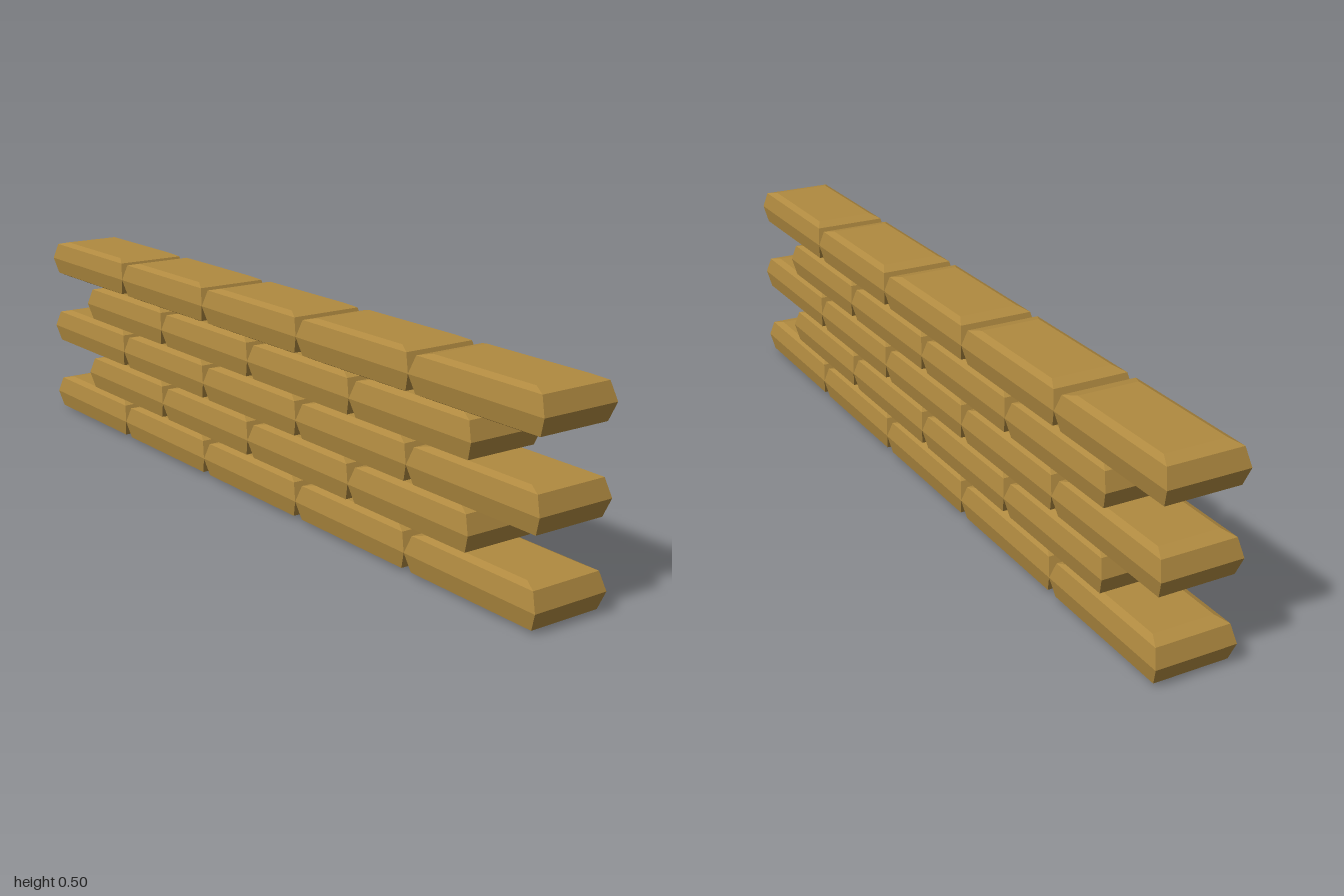
import * as THREE from 'three';

// Brick size and its profile from bottom to top: [height, plan scale]
const LENGTH = 0.4, HEIGHT = 0.1, DEPTH = 0.2;
const PROFILE = [[0, 0.75], [0.008, 0.92], [0.05, 1], [0.092, 0.92], [0.1, 0.75]];

// A box whose horizontal rings are scaled to give bulging, bevelled sides
function brickGeometry() {
  const geometry = new THREE.BoxGeometry(LENGTH, HEIGHT, DEPTH, 1, PROFILE.length - 1, 1);
  const pos = geometry.attributes.position;
  for (let i = 0; i < pos.count; i++) {
    const ring = Math.round((pos.getY(i) / HEIGHT + 0.5) * (PROFILE.length - 1));
    const [y, scale] = PROFILE[ring];
    pos.setXYZ(i, pos.getX(i) * scale, y, pos.getZ(i) * scale);
  }
  const flat = geometry.toNonIndexed();
  flat.computeVertexNormals();
  return flat;
}

export function createModel() {
  const wall = new THREE.Group();
  wall.name = 'brickWall';
  const geometry = brickGeometry();
  const material = new THREE.MeshStandardMaterial({ color: 0xb08a40, flatShading: true });

  // Alternating courses of five and four bricks
  for (let row = 0; row < 5; row++) {
    const course = new THREE.Group();
    course.name = `course${row + 1}`;
    course.position.y = row * HEIGHT;
    const count = row % 2 ? 4 : 5;
    for (let i = 0; i < count; i++) {
      const brick = new THREE.Mesh(geometry, material);
      brick.name = `brick${i + 1}`;
      brick.position.x = (i - (count - 1) / 2) * LENGTH;
      course.add(brick);
    }
    wall.add(course);
  }
  return wall;
}
